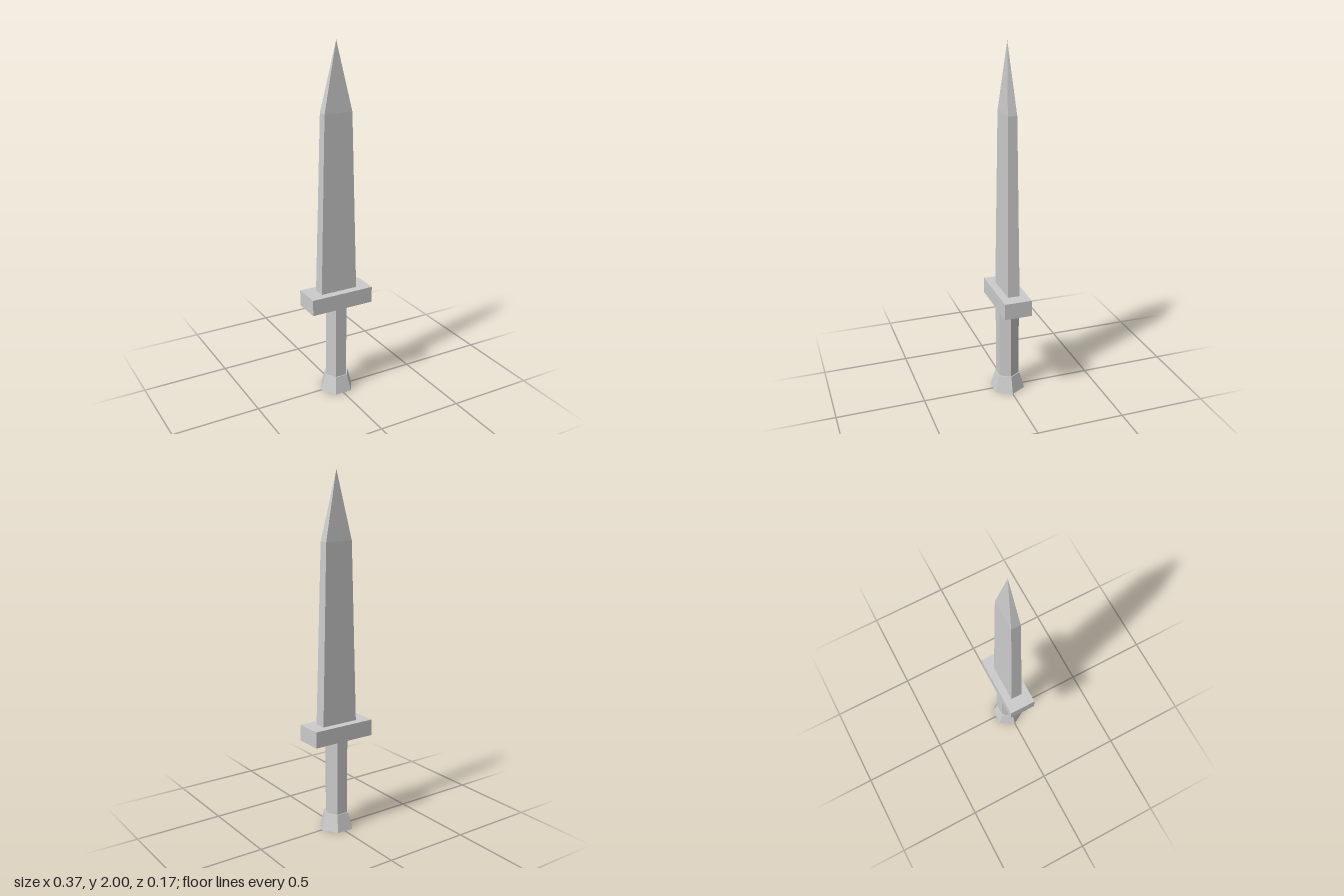
import * as THREE from 'three';

export function createModel() {
  const group = new THREE.Group();
  const metal = new THREE.MeshStandardMaterial({ color: 0xcccccc, flatShading: true });
  metal.name = 'pale grey metal';

  const add = (name, geometry) => {
    const mesh = new THREE.Mesh(geometry, metal);
    mesh.name = name;
    group.add(mesh);
  };

  // Six-sided section with corners on the x axis
  const hexagon = (top, bottom, y0, y1, open = false) =>
    new THREE.CylinderGeometry(top, bottom, y1 - y0, 6, 1, open)
      .rotateY(Math.PI / 6)
      .translate(0, (y0 + y1) / 2, 0);

  // Four-sided section; top and bottom are fractions of the half width and half depth
  const wedge = (halfX, halfZ, top, bottom, y0, y1) =>
    new THREE.CylinderGeometry(top * Math.SQRT2, bottom * Math.SQRT2, y1 - y0, 4, 1, true)
      .rotateY(Math.PI / 4)
      .scale(halfX, 1, halfZ)
      .translate(0, (y0 + y1) / 2, 0);

  // Handle
  add('pommel', hexagon(0.073, 0.1, 0, 0.097));
  add('grip', hexagon(0.067, 0.067, 0.097, 0.535, true));

  // Crossguard
  add('crossguard', new THREE.BoxGeometry(0.374, 0.092, 0.156).translate(0, 0.581, 0));

  // Blade narrows gently, then runs to a point
  add('blade', wedge(0.11, 0.034, 0.75, 1, 0.627, 1.63));
  add('bladeTip', wedge(0.11, 0.034, 0, 0.75, 1.63, 2));

  return group;
}
